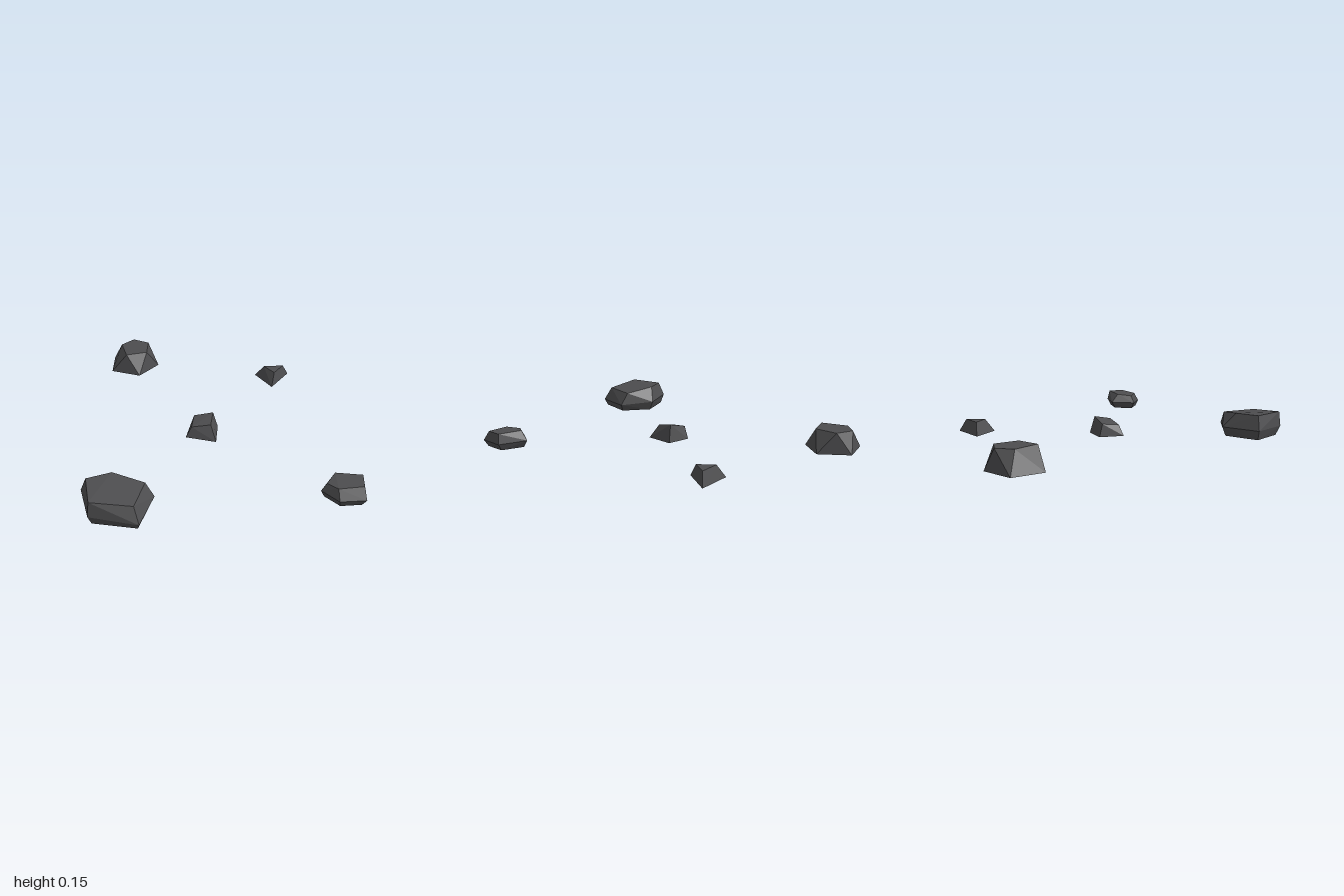
import * as THREE from 'three';
import { ConvexGeometry } from 'three/addons/geometries/ConvexGeometry.js';

// Each rock is the convex hull of a few corner rings, as [x, y, z].
const ROCKS = {
  largeRock: [
    // base
    [-0.755, 0, 0.67], [-0.54, 0, 0.625], [-0.41, 0, 0.77], [-0.5, 0, 0.965], [-0.735, 0, 0.88],
    // widest ring
    [-0.775, 0.06, 0.655], [-0.535, 0.06, 0.597], [-0.385, 0.045, 0.765], [-0.495, 0.04, 0.99], [-0.755, 0.06, 0.9],
    // top
    [-0.745, 0.15, 0.68], [-0.6, 0.15, 0.648], [-0.43, 0.125, 0.74], [-0.515, 0.128, 0.94], [-0.745, 0.15, 0.895],
  ],
  backRock: [
    // base
    [-0.44, 0, -0.978], [-0.235, 0, -1], [-0.15, 0, -0.81], [-0.3, 0, -0.675], [-0.478, 0, -0.775],
    // top, turned half a step
    [-0.3, 0.132, -0.975], [-0.205, 0.13, -0.91], [-0.235, 0.13, -0.765], [-0.377, 0.132, -0.745], [-0.392, 0.132, -0.91],
  ],
  frontRock: [
    // base
    [0.625, 0, 0.78], [0.747, 0, 0.85], [0.72, 0, 0.98], [0.6, 0, 0.97], [0.54, 0, 0.87],
    // widest ring
    [0.627, 0.045, 0.75], [0.775, 0.042, 0.845], [0.738, 0.04, 1], [0.59, 0.04, 0.985], [0.52, 0.04, 0.87],
    // top
    [0.618, 0.1, 0.8], [0.762, 0.104, 0.852], [0.735, 0.102, 0.955], [0.592, 0.097, 0.945], [0.55, 0.088, 0.872],
  ],
  centreRock: [
    // base
    [-0.04, 0, 0.01], [0.105, 0, 0.06], [0.06, 0, 0.235], [-0.112, 0, 0.15],
    // top, sloping
    [-0.04, 0.08, 0.035], [0.072, 0.11, 0.07], [0.038, 0.088, 0.175], [-0.075, 0.066, 0.143],
  ],
  wedgeRock: [
    // base
    [0.49, 0, -0.545], [0.715, 0, -0.525], [0.56, 0, -0.36],
    // top
    [0.54, 0.08, -0.512], [0.67, 0.08, -0.5], [0.588, 0.08, -0.412],
  ],
};

export function createModel() {
  const group = new THREE.Group();
  group.name = 'rocks';
  const stone = new THREE.MeshStandardMaterial({ color: 0x4d4d4f });
  stone.name = 'darkStone';

  for (const [name, corners] of Object.entries(ROCKS)) {
    const points = corners.map((c) => new THREE.Vector3(...c));
    const rock = new THREE.Mesh(new ConvexGeometry(points), stone);
    rock.name = name;
    group.add(rock);
  }
  return group;
}
